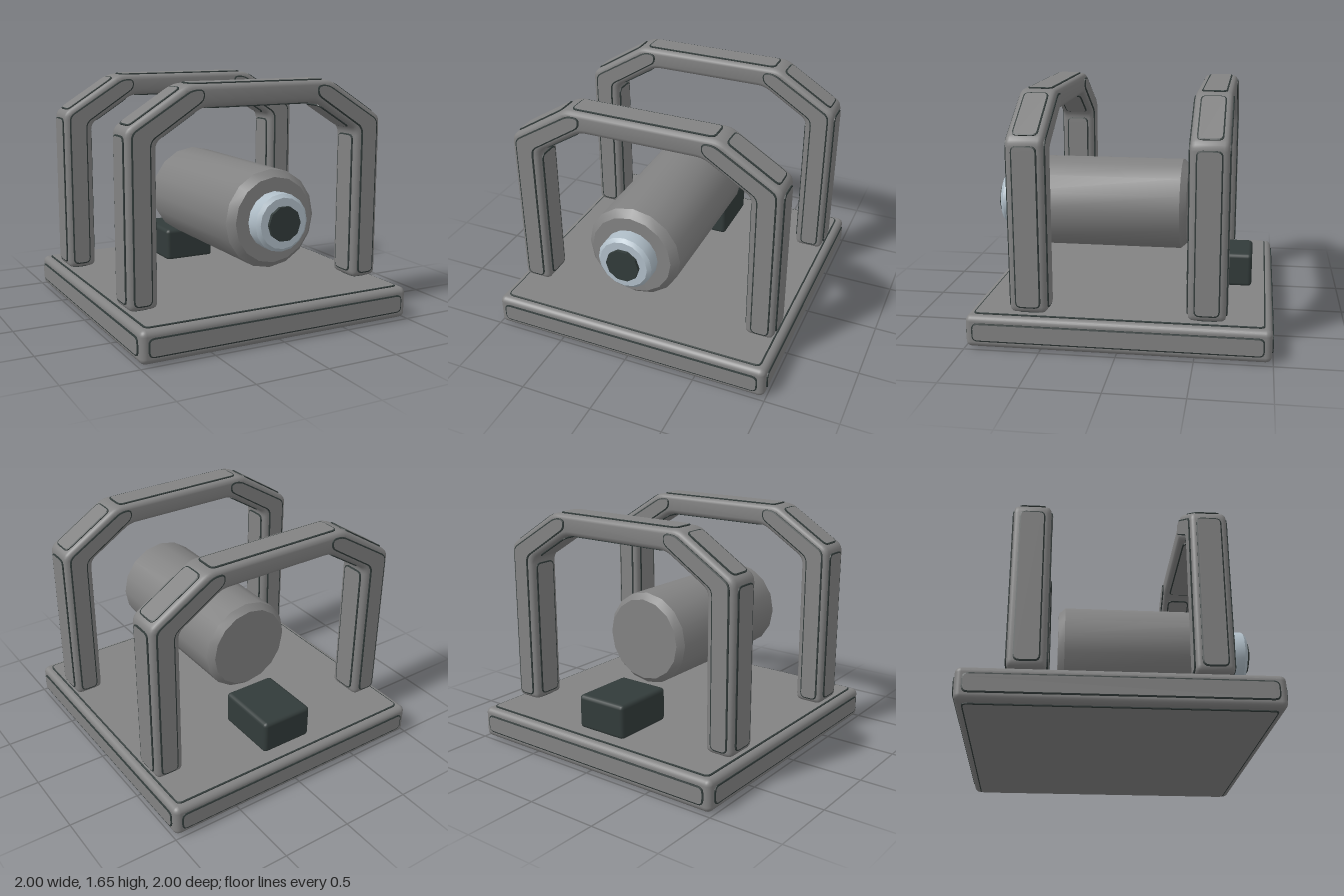
import * as THREE from 'three';
import { toCreasedNormals } from 'three/addons/utils/BufferGeometryUtils.js';
import { RoundedBoxGeometry } from 'three/addons/geometries/RoundedBoxGeometry.js';

const material = (name, color) => Object.assign(new THREE.MeshStandardMaterial({ color }), { name });
const V = (x, y, z) => new THREE.Vector3(x, y, z);

// Closed polygon with every corner rounded by r
function roundedPoly(points, r) {
  const p = points.map(([x, y]) => new THREE.Vector2(x, y));
  const shape = new THREE.Shape();
  p.forEach((c, i) => {
    const prev = p[(i + p.length - 1) % p.length];
    const next = p[(i + 1) % p.length];
    const toward = (q) => c.clone().add(q.clone().sub(c).setLength(Math.min(r, c.distanceTo(q) * 0.45)));
    const a = toward(prev), b = toward(next);
    if (i === 0) shape.moveTo(a.x, a.y);
    else shape.lineTo(a.x, a.y);
    shape.quadraticCurveTo(c.x, c.y, b.x, b.y);
  });
  shape.closePath();
  return shape;
}

const rect = (w, h) => [[-w / 2, -h / 2], [w / 2, -h / 2], [w / 2, h / 2], [-w / 2, h / 2]];

export function createModel() {
  const grey = material('grey', 0x828282);
  const dark = material('dark', 0x323b3a);
  const metal = material('pale metal', 0xb0bec8);
  const model = new THREE.Group();

  function add(parent, name, geometry, mat) {
    const mesh = new THREE.Mesh(geometry, mat);
    mesh.name = name;
    parent.add(mesh);
    return mesh;
  }

  // Thin raised plate with a dark rim, facing n, its x axis along u
  function panel(parent, name, points, position, u, n) {
    const geometry = new THREE.ExtrudeGeometry(roundedPoly(points, 0.04), {
      depth: 0.006, bevelEnabled: true, bevelThickness: 0.003, bevelSize: 0.009,
      bevelOffset: -0.009, bevelSegments: 1, curveSegments: 4,
    });
    geometry.applyMatrix4(new THREE.Matrix4().makeBasis(u, n.clone().cross(u), n).setPosition(position));
    add(parent, name, geometry, [grey, dark]);
  }

  // Base slab with a panel on each face
  const base = new THREE.Group();
  base.name = 'base';
  model.add(base);
  add(base, 'baseSlab', new RoundedBoxGeometry(1.982, 0.217, 1.982, 3, 0.04), grey).position.y = 0.1175;
  for (let i = 0; i < 4; i++) {
    const a = i * Math.PI / 2;
    const n = V(Math.sin(a), 0, Math.cos(a));
    const u = V(Math.cos(a), 0, -Math.sin(a));
    panel(base, 'baseSidePanel', rect(1.89, 0.125), n.clone().multiplyScalar(0.991).setY(0.1175), u, n);
  }
  panel(base, 'baseTopPanel', rect(1.89, 1.89), V(0, 0.226, 0), V(1, 0, 0), V(0, 1, 0));
  panel(base, 'baseBottomPanel', rect(1.89, 1.89), V(0, 0.009, 0), V(1, 0, 0), V(0, -1, 0));

  // Two arches, each a beveled frame with panels on all edges
  const outer = [[0.945, 0.247], [0.945, 1.385], [0.53, 1.645]];
  const inner = [[0.425, 1.5], [0.745, 1.3], [0.745, 0.247]];
  const mirror = (pts) => pts.map(([x, y]) => [-x, y]).reverse();
  const profile = [...outer, ...mirror(outer), ...mirror(inner), ...inner];
  const bent = [[0.914, 0.275], [0.786, 0.275], [0.786, 1.31], [0.42, 1.545], [0.42, 1.615], [0.505, 1.615], [0.914, 1.365]];
  const bevel = 0.032;
  for (const [name, z] of [['frontArch', 0.575], ['rearArch', -0.575]]) {
    const arch = new THREE.Group();
    arch.name = name;
    arch.position.z = z;
    model.add(arch);
    const half = 0.121;
    const frame = new THREE.ExtrudeGeometry(roundedPoly(profile, 0.045), {
      depth: 2 * (half - bevel), bevelEnabled: true, bevelThickness: bevel, bevelSize: bevel,
      bevelOffset: -bevel, bevelSegments: 3, curveSegments: 4,
    });
    frame.translate(0, 0, bevel - half);
    add(arch, 'archFrame', toCreasedNormals(frame, 0.6), grey);
    profile.forEach(([x, y], i) => {
      const [x2, y2] = profile[(i + 1) % profile.length];
      const u = V(x2 - x, y2 - y, 0);
      const length = u.length();
      u.normalize();
      panel(arch, 'archEdgePanel', rect(length - 0.075, 0.166), V((x + x2) / 2, (y + y2) / 2, 0), u, V(u.y, -u.x, 0));
    });
    for (const s of [1, -1]) {
      for (const points of [bent, mirror(bent)]) {
        panel(arch, 'archFacePanel', points, V(0, 0, s * half), V(s, 0, 0), V(0, 0, s));
      }
    }
  }

  // Turned parts along z, given as [radius, z] from back to front
  function turned(name, points, sides, start, mat) {
    const geometry = new THREE.LatheGeometry(points.map(([r, z]) => new THREE.Vector2(r, z)), sides, start);
    geometry.rotateX(Math.PI / 2);
    add(model, name, toCreasedNormals(geometry, 0.5), mat).position.y = 0.775;
  }
  turned('barrel', [[0, -0.385], [0.285, -0.385], [0.325, -0.34], [0.325, 0.8], [0.28, 0.85], [0, 0.85]], 16, 0, grey);
  turned('nozzle', [[0, 0.84], [0.189, 0.84], [0.189, 0.942], [0.166, 0.964], [0, 0.964]], 16, 0, metal);
  turned('nozzleTip', [[0, 0.95], [0.115, 0.95], [0.115, 0.986], [0, 0.986]], 10, Math.PI / 2, dark);

  // Small block behind the barrel
  add(model, 'rearBlock', new RoundedBoxGeometry(0.382, 0.24, 0.46, 2, 0.028), dark).position.set(0, 0.345, -0.617);

  return model;
}
